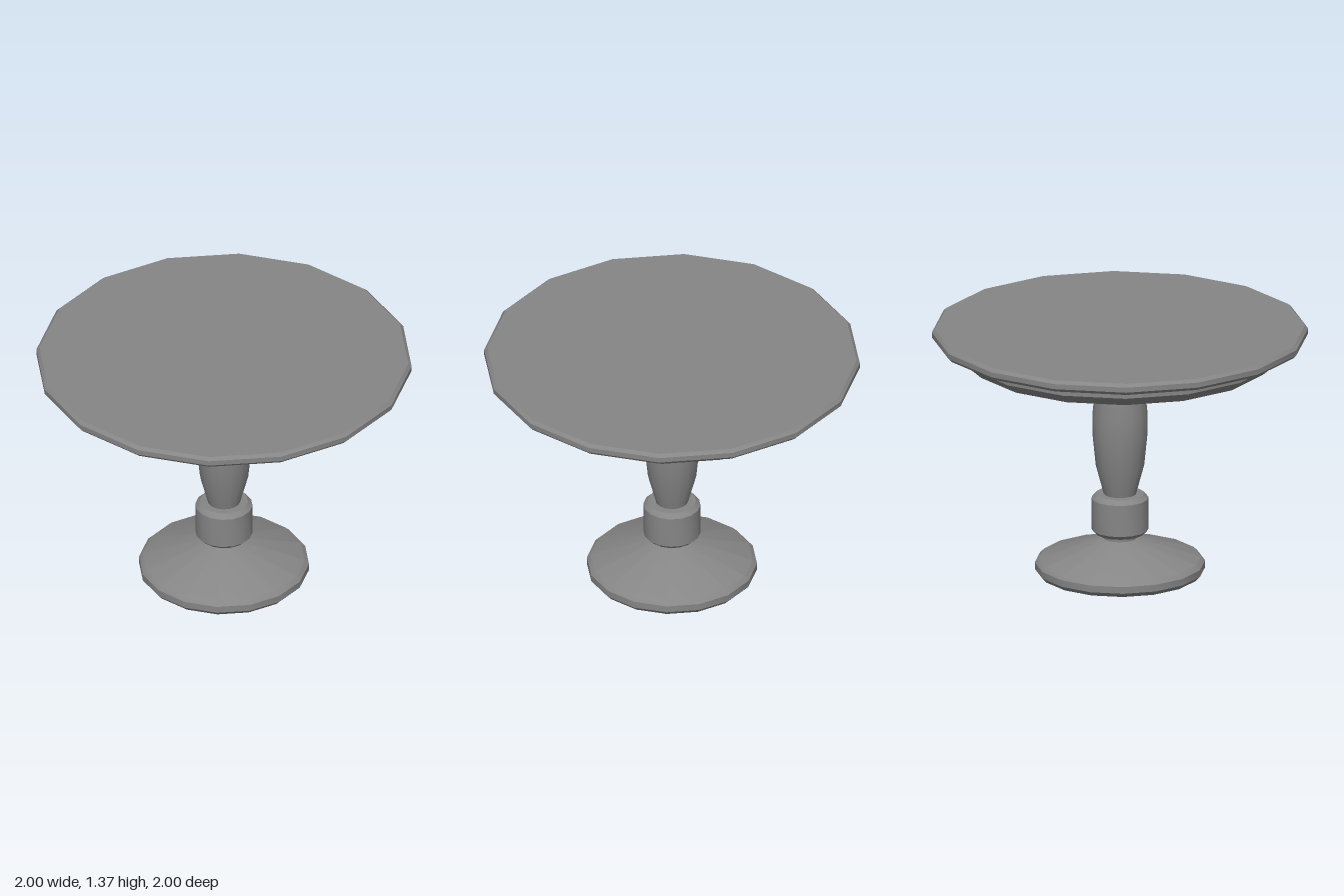
import * as THREE from 'three';
import { toCreasedNormals } from 'three/addons/utils/BufferGeometryUtils.js';

const SIDES = 16;

export function createModel() {
  const model = new THREE.Group();
  model.name = 'pedestalTable';
  const material = new THREE.MeshStandardMaterial({ color: 0x868686 });

  // Turned part from a [radius, height] profile listed bottom to top, closed at both ends
  function turned(name, profile) {
    const first = profile[0], last = profile[profile.length - 1];
    const points = [[0, first[1]], ...profile, [0, last[1]]].map(([r, y]) => new THREE.Vector2(r, y));
    const geometry = toCreasedNormals(new THREE.LatheGeometry(points, SIDES), 0.5);
    const mesh = new THREE.Mesh(geometry, material);
    mesh.name = name;
    model.add(mesh);
  }

  // Flared foot with a bevelled rim, rising into a short neck
  turned('base', [
    [0.43, 0], [0.453, 0.025], [0.453, 0.062], [0.43, 0.085], [0.088, 0.195], [0.088, 0.235],
  ]);

  // Bevelled collar
  turned('collar', [[0.128, 0.222], [0.152, 0.245], [0.152, 0.418], [0.128, 0.442]]);

  // Swelling column
  turned('column', [
    [0.085, 0.435], [0.129, 0.6], [0.146, 0.77], [0.147, 0.88], [0.136, 1.0], [0.115, 1.2],
  ]);

  // Apron under the top, chamfered below
  turned('apron', [[0.81, 1.192], [0.872, 1.247], [0.872, 1.31]]);

  // Table top with bevelled edge
  turned('tableTop', [[0.983, 1.304], [1, 1.322], [1, 1.35], [0.983, 1.366]]);

  return model;
}
